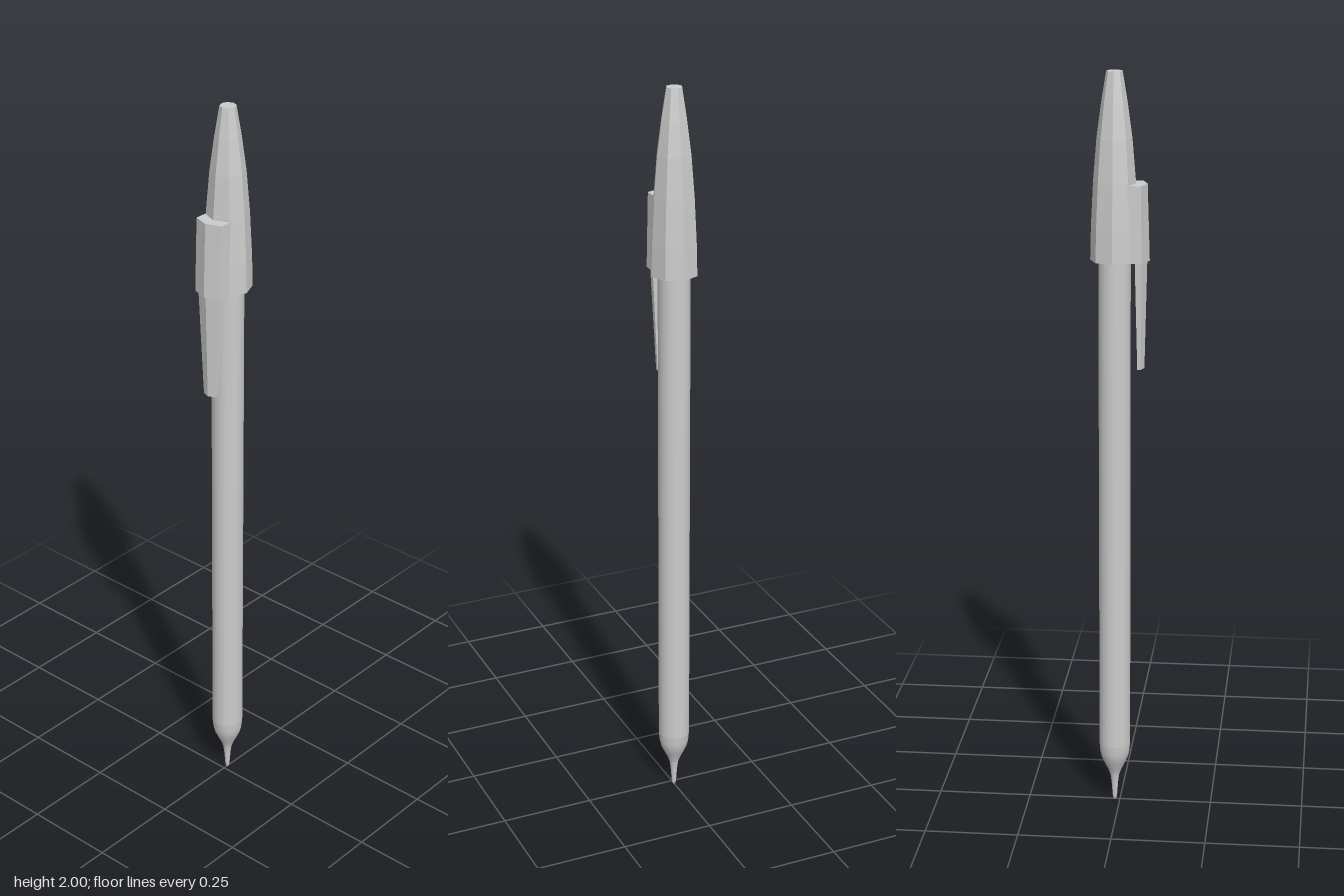
import * as THREE from 'three';

const AXIS = 0.014; // the barrel sits slightly off centre, the clip balances it

// Joins matching cross-sections [y, [[x, z], ...]] into a closed solid.
function loft(sections) {
  const n = sections[0][1].length;
  const positions = [];
  const index = [];
  for (const [y, points] of sections) for (const [x, z] of points) positions.push(x, y, z);
  for (let s = 0; s < sections.length - 1; s++) {
    for (let i = 0; i < n; i++) {
      const a = s * n + i;
      const b = s * n + (i + 1) % n;
      index.push(a, b, b + n, a, b + n, a + n);
    }
  }
  const top = (sections.length - 1) * n;
  for (let i = 1; i < n - 1; i++) {
    index.push(0, i + 1, i);
    index.push(top, top + i, top + i + 1);
  }
  const geometry = new THREE.BufferGeometry();
  geometry.setAttribute('position', new THREE.Float32BufferAttribute(positions, 3));
  geometry.setIndex(index);
  geometry.computeVertexNormals();
  return geometry;
}

// Five-sided clip outline: flat inside, ridged outside.
const clipOutline = (inner, shoulder, ridge, w) =>
  [[inner, w], [inner, -w], [shoulder, -w], [ridge, 0], [shoulder, w]];

export function createModel() {
  const group = new THREE.Group();
  group.name = 'pen';
  const smooth = new THREE.MeshStandardMaterial({ color: 0xcccccc });
  const faceted = new THREE.MeshStandardMaterial({ color: 0xcccccc, flatShading: true });

  function add(name, geometry, material, x = 0) {
    const mesh = new THREE.Mesh(geometry, material);
    mesh.name = name;
    mesh.position.x = x;
    group.add(mesh);
  }
  const lathe = (points, sides) =>
    new THREE.LatheGeometry(points.map(([r, y]) => new THREE.Vector2(r, y)), sides);

  // Round barrel
  add('barrel', lathe([[0.042, 0.17], [0.042, 1.6]], 32), smooth, AXIS);

  // Shoulder narrowing into the writing tip
  add('tip', lathe([
    [0, 0], [0.004, 0.001], [0.006, 0.01], [0.009, 0.05], [0.012, 0.073], [0.018, 0.09],
    [0.028, 0.11], [0.036, 0.128], [0.04, 0.146], [0.042, 0.17],
  ], 32), smooth, AXIS);

  // Eight-sided tapering cap
  add('cap', lathe([
    [0, 1.515], [0.063, 1.515], [0.061, 1.6], [0.055, 1.72], [0.046, 1.83],
    [0.034, 1.92], [0.021, 2], [0, 2],
  ], 8), faceted, AXIS);

  // Block joining the clip to the cap
  add('clipBase', loft([
    [1.515, clipOutline(0, -0.06, -0.077, 0.044)],
    [1.715, clipOutline(0, -0.057, -0.071, 0.041)],
  ]), faceted);

  // Tapering clip blade
  add('clipBlade', loft([
    [1.23, clipOutline(-0.047, -0.056, -0.064, 0.02)],
    [1.53, clipOutline(-0.041, -0.058, -0.071, 0.036)],
  ]), faceted);

  return group;
}
